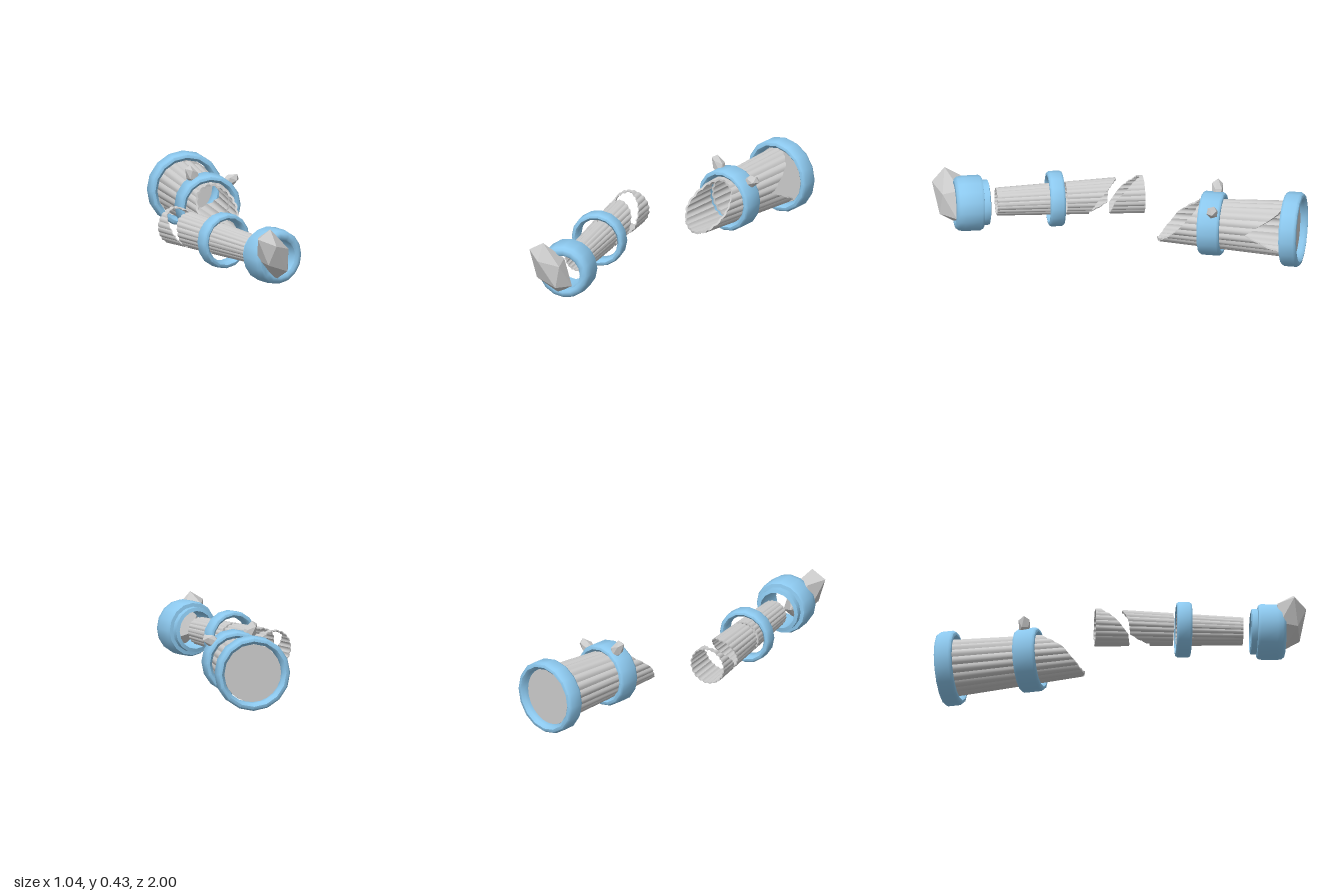
import * as THREE from 'three';
import { toCreasedNormals } from 'three/addons/utils/BufferGeometryUtils.js';

const stone = new THREE.MeshStandardMaterial({ color: 0xcccccc, side: THREE.DoubleSide });
const facet = new THREE.MeshStandardMaterial({ color: 0xcccccc, flatShading: true });
const blue = new THREE.MeshStandardMaterial({ color: 0x8cc8ee, side: THREE.DoubleSide });

function add(parent, name, geometry, material) {
  const mesh = new THREE.Mesh(geometry, material);
  mesh.name = name;
  parent.add(mesh);
  return mesh;
}

// End position of a broken edge: a number, or 8 values every 45 degrees from +x
function edgeAt(edge, theta) {
  if (typeof edge === 'number') return edge;
  const t = (theta / (Math.PI * 2)) * edge.length;
  const i = Math.floor(t) % edge.length;
  return THREE.MathUtils.lerp(edge[i], edge[(i + 1) % edge.length], t - Math.floor(t));
}

// Hollow reeded shaft along z with a linear taper and thin walls
function reededShaft(back, front, radiusAt, wall) {
  const reeds = 20, steps = reeds * 4, pos = [], index = [];
  for (let i = 0; i < steps; i++) {
    const a = (i / steps) * Math.PI * 2;
    const reed = 0.94 + 0.06 * Math.abs(Math.sin((a * reeds) / 2));
    const z0 = edgeAt(back, a), z1 = edgeAt(front, a);
    for (const [z, inset] of [[z0, 0], [z1, 0], [z1, wall], [z0, wall]]) {
      const r = radiusAt(z) * reed - inset;
      pos.push(r * Math.cos(a), r * Math.sin(a), z);
    }
    const n = (i + 1) % steps;
    for (let k = 0; k < 4; k++) {
      const l = (k + 1) % 4;
      const p = i * 4 + k, q = n * 4 + k, s = n * 4 + l, t = i * 4 + l;
      index.push(p, q, s, p, s, t);
    }
  }
  const g = new THREE.BufferGeometry();
  g.setAttribute('position', new THREE.Float32BufferAttribute(pos, 3));
  g.setIndex(index);
  return toCreasedNormals(g, 0.6);
}

// Closed lathe profile of [radius, z] pairs, turned around the z axis
function turned(profile) {
  const pts = [...profile, profile[0]].map(([r, z]) => new THREE.Vector2(r, z));
  return toCreasedNormals(new THREE.LatheGeometry(pts, 16).rotateX(Math.PI / 2), 0.9);
}

// Collar with rounded outer corners
function collar(inner, outer, z0, z1) {
  const b = (outer - inner) * 0.4;
  return turned([
    [inner + b, z0], [outer - b * 0.5, z0 + b * 0.15], [outer, z0 + b],
    [outer, z1 - b], [outer - b * 0.5, z1 - b * 0.15], [inner + b, z1],
    [inner, z1 - b], [inner, z0 + b],
  ]);
}

// Faceted crystal stretched along a direction
function crystal(parent, name, center, dir, size) {
  const m = add(parent, name, new THREE.IcosahedronGeometry(1, 0), facet);
  m.position.set(...center);
  m.scale.set(...size);
  m.quaternion.setFromUnitVectors(new THREE.Vector3(0, 1, 0), new THREE.Vector3(...dir).normalize());
}

export function createModel() {
  const model = new THREE.Group();

  // Slim broken half with the end cap
  const slim = new THREE.Group();
  slim.name = 'slimHalf';
  slim.position.set(-0.311, 0.208, 0);
  slim.rotation.y = -0.037;
  model.add(slim);
  const slimRadius = z => 0.1 - 0.034 * z;
  add(slim, 'slimShaft', reededShaft(0.3, 0.665, slimRadius, 0.008), stone);
  add(slim, 'splinteredShaft', reededShaft(
    [0.12, 0.05, 0, 0, 0.03, 0.04, 0.15, 0.16], 0.28, slimRadius, 0.006), stone);
  add(slim, 'shaftShard', reededShaft(
    -0.15, [0.02, -0.06, -0.13, -0.11, -0.03, 0.03, 0.04, 0.04], slimRadius, 0.006), stone);
  add(slim, 'slimCollar', collar(0.118, 0.153, 0.295, 0.38), blue);
  add(slim, 'endCap', turned([
    [0.105, 0.705], [0.125, 0.71], [0.125, 0.742], [0.145, 0.745], [0.153, 0.76], [0.153, 0.85],
    [0.148, 0.88], [0.135, 0.896], [0.115, 0.9], [0.1, 0.89], [0.1, 0.85], [0.105, 0.76],
  ]), blue);
  crystal(model, 'endCrystal', [-0.408, 0.238, 0.91], [-0.17, 0.28, 0.05], [0.09, 0.175, 0.095]);

  // Wide broken half, centred on its middle collar
  const wide = new THREE.Group();
  wide.name = 'wideHalf';
  wide.position.set(0.155, 0.208, -0.46);
  wide.rotation.y = -0.349;
  model.add(wide);
  const wideRadius = z => 0.135 - 0.05 * z;
  add(wide, 'wideShaft', reededShaft(
    [-0.2, -0.36, -0.45, -0.45, -0.45, -0.45, -0.45, -0.42], -0.01, wideRadius, 0.012), stone);
  add(wide, 'brokenTip', reededShaft(
    0.02, [0.17, 0.09, 0.06, 0.1, 0.22, 0.28, 0.31, 0.27], wideRadius, 0.012), stone);
  add(wide, 'middleCollar', collar(0.138, 0.176, -0.063, 0.063), blue);
  add(wide, 'baseCollar', collar(0.165, 0.206, -0.5, -0.4), blue);
  const disc = new THREE.CylinderGeometry(0.16, 0.16, 0.012, 24).rotateX(Math.PI / 2);
  add(wide, 'baseDisc', toCreasedNormals(disc, 0.6), stone).position.z = -0.455;

  // Small crystals set into the middle collar
  crystal(model, 'topCrystal', [0.08, 0.375, -0.5], [-0.055, 0.1, -0.01], [0.036, 0.068, 0.036]);
  crystal(model, 'sideCrystal', [0.29, 0.332, -0.435], [0.09, 0.04, 0.03], [0.034, 0.058, 0.034]);

  return model;
}
